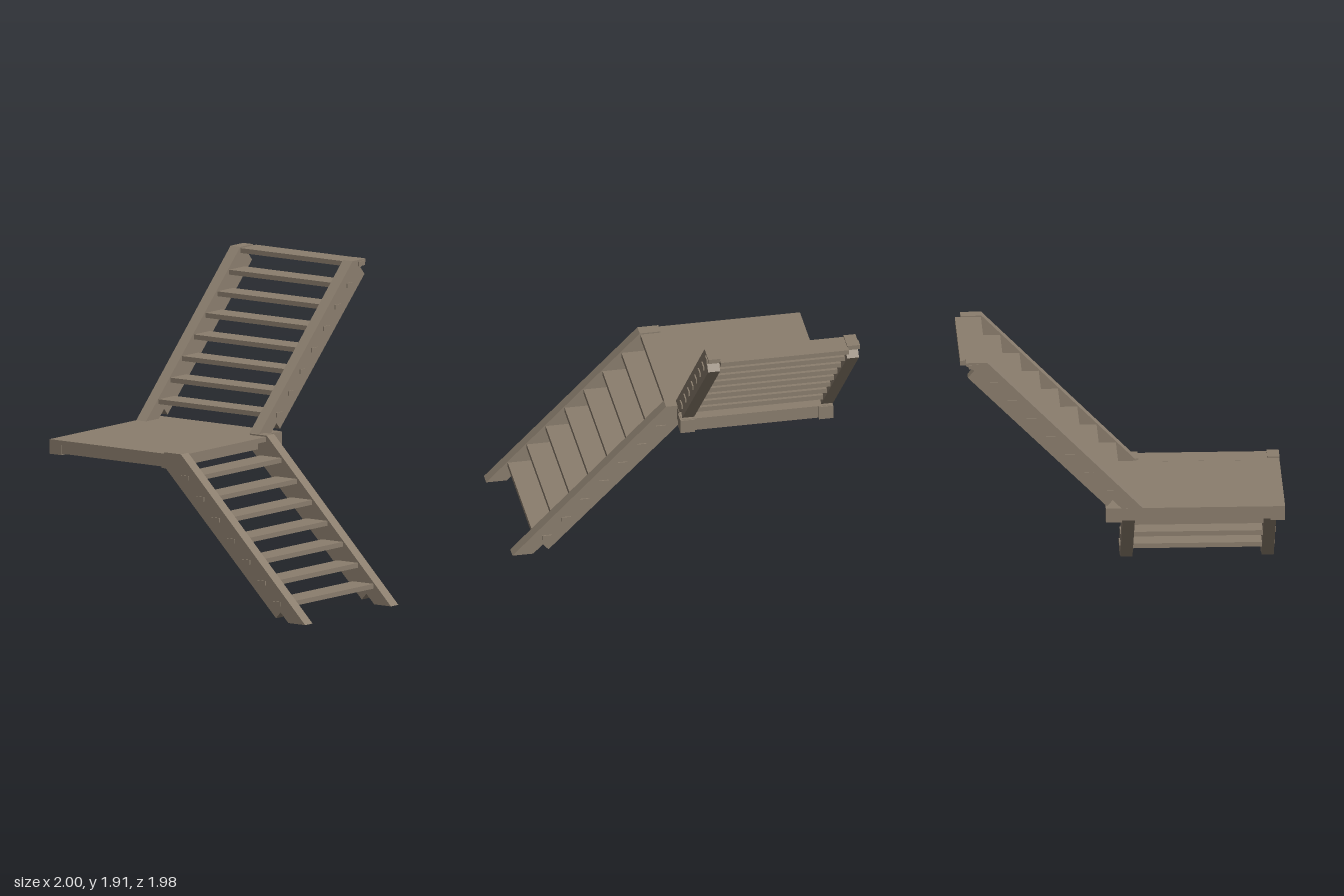
import * as THREE from 'three';

const wood = new THREE.MeshStandardMaterial({ color: 0x8b7e6e });
wood.name = 'weathered wood';

// Box given by its minimum and maximum corners
function box(parent, name, [x0, y0, z0], [x1, y1, z1]) {
  const mesh = new THREE.Mesh(new THREE.BoxGeometry(x1 - x0, y1 - y0, z1 - z0), wood);
  mesh.position.set((x0 + x1) / 2, (y0 + y1) / 2, (z0 + z1) / 2);
  mesh.name = name;
  parent.add(mesh);
  return mesh;
}

// One straight flight climbing along +x, centred on z = 0
function makeFlight(name) {
  const flight = new THREE.Group();
  flight.name = name;
  const half = 0.4715, thick = 0.075;

  // Notched side boards
  const outline = new THREE.Shape([
    [0, 0], [0.13, 0], [0.19, 0.06], [0.225, 0.02], [1.08, 0.87],
    [1.04, 0.915], [1.09, 0.945], [1.09, 0.965], [0.96, 0.965],
  ].map(([x, y]) => new THREE.Vector2(x, y)));
  const board = new THREE.ExtrudeGeometry(outline, { depth: thick, bevelEnabled: false });
  for (const z of [-half, half - thick]) {
    const stringer = new THREE.Mesh(board, wood);
    stringer.name = 'stringer';
    stringer.position.z = z;
    flight.add(stringer);
  }

  // Treads, with tenons showing through the side boards
  for (let i = 0; i < 8; i++) {
    const x = 0.135 + i * 0.1185, top = 0.127 + i * 0.1185;
    const inner = half - thick + 0.004;
    box(flight, 'tread', [x, top - 0.03, -inner], [x + 0.16, top, inner]);
    if (i < 7 || name === 'upperFlight') {
      box(flight, 'tenon', [x + 0.05, top - 0.03, -half - 0.008], [x + 0.11, top - 0.002, half + 0.008]);
    }
  }
  return flight;
}

function makeLanding() {
  const landing = new THREE.Group();
  landing.name = 'landing';
  const x0 = -0.99, x1 = 0.112, z0 = -0.985, z1 = -0.03;

  // Corner blocks
  for (const x of [x0, x1 - 0.09])
    for (const z of [z0, z1 - 0.09])
      box(landing, 'cornerBlock', [x, 0.865, z], [x + 0.09, 0.953, z + 0.09]);

  // Edge beams
  for (const z of [z0 + 0.008, z1 - 0.073])
    box(landing, 'longBeam', [x0 + 0.08, 0.873, z], [x1 - 0.08, 0.95, z + 0.065]);
  for (const x of [x0 + 0.008, x1 - 0.073])
    box(landing, 'crossBeam', [x, 0.873, z0 + 0.08], [x + 0.065, 0.95, z1 - 0.08]);

  // Deck and the joists below it
  box(landing, 'deck', [x0, 0.93, z0], [x1 - 0.008, 0.956, z1 - 0.008]);
  for (let i = 1; i <= 5; i++) {
    const z = z0 + 0.04 + i * 0.146;
    box(landing, 'joist', [x0 + 0.06, 0.902, z - 0.025], [x1 - 0.06, 0.935, z + 0.025]);
  }

  // Diagonal brace from corner to corner
  const dx = x1 - x0 - 0.12, dz = z1 - z0 - 0.12;
  const length = Math.hypot(dx, dz);
  const brace = box(landing, 'diagonalBrace', [-length / 2, 0.877, -0.025], [length / 2, 0.907, 0.025]);
  brace.position.x = (x0 + x1) / 2;
  brace.position.z = (z0 + z1) / 2;
  brace.rotation.y = -Math.atan2(dz, dx);
  return landing;
}

export function createModel() {
  const model = new THREE.Group();
  model.name = 'turningStaircase';

  // Lower flight climbs toward -z, upper flight toward +x
  const lower = makeFlight('lowerFlight');
  lower.rotation.y = Math.PI / 2;
  lower.position.set(-0.52, 0, 0.99);
  const upper = makeFlight('upperFlight');
  upper.position.set(-0.12, 0.95, -0.513);

  model.add(lower, upper, makeLanding());
  return model;
}
